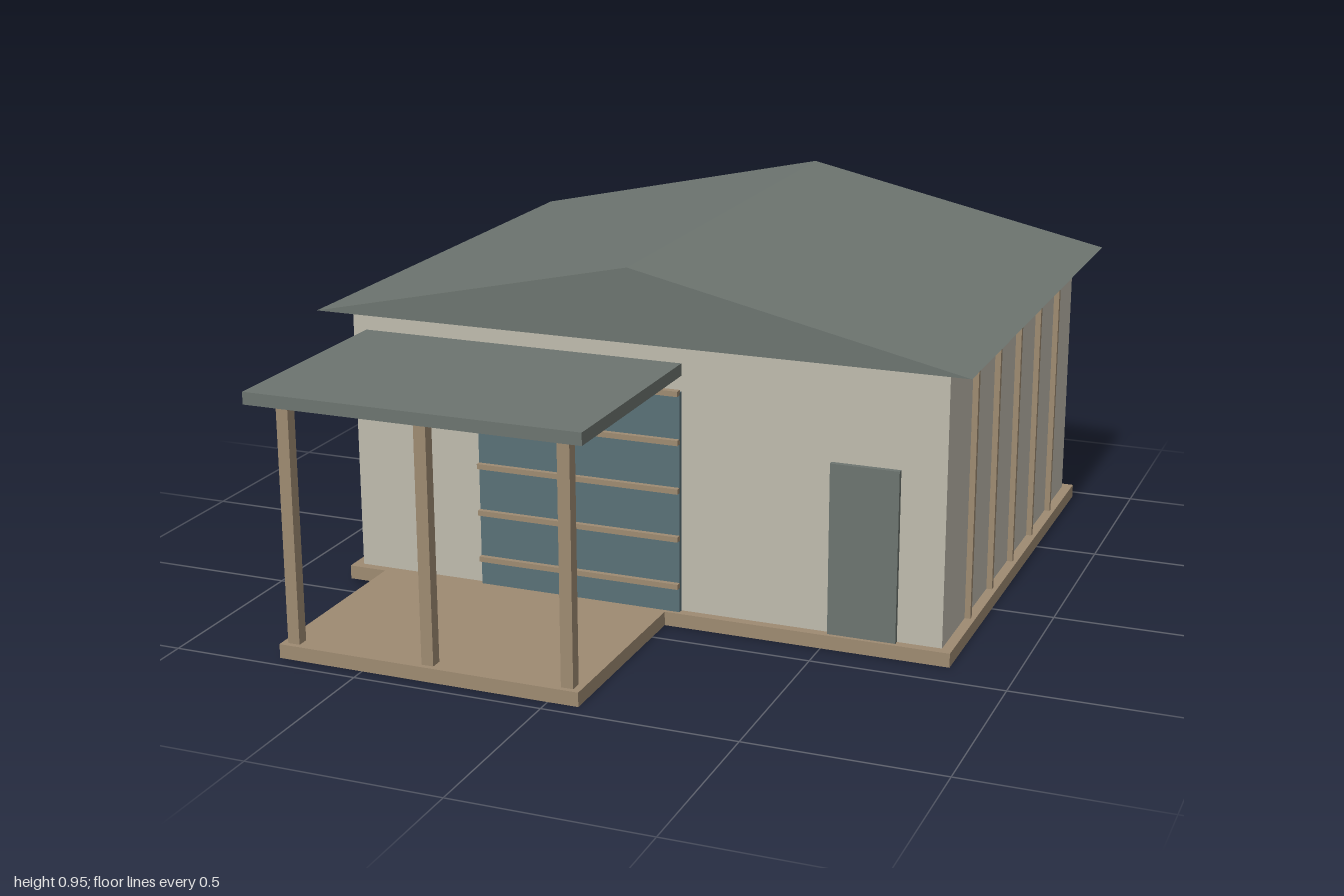
import * as THREE from 'three';

const material = (color) => new THREE.MeshStandardMaterial({ color });

export function createModel() {
  const model = new THREE.Group();
  model.name = 'garage';
  const wall = material(0xc0bcae);
  const roofing = material(0x6d7570);
  const timber = material(0x9f8b72);
  const doorBlue = material(0x5a7178);

  // Box given by its extents on each axis
  function box(name, [x0, x1], [y0, y1], [z0, z1], mat) {
    const mesh = new THREE.Mesh(new THREE.BoxGeometry(x1 - x0, y1 - y0, z1 - z0), mat);
    mesh.position.set((x0 + x1) / 2, (y0 + y1) / 2, (z0 + z1) / 2);
    mesh.name = name;
    model.add(mesh);
  }

  const floor = 0.037, eave = 0.755, ridge = 0.947;
  const halfWidth = 0.808, front = 0.39, back = -0.93;

  // Floor slabs and walls
  box('mainSlab', [-0.835, 0.835], [0, floor], [-0.957, 0.415], timber);
  box('porchSlab', [-0.73, 0.08], [0, floor], [0.415, 0.96], timber);
  box('walls', [-halfWidth, halfWidth], [floor, eave], [back, front], wall);

  // Solid gable roof
  const gable = new THREE.Shape([
    new THREE.Vector2(-0.877, eave),
    new THREE.Vector2(0.877, eave),
    new THREE.Vector2(0, ridge),
  ]);
  const roof = new THREE.Mesh(
    new THREE.ExtrudeGeometry(gable, { depth: 1.457, bevelEnabled: false }), roofing);
  roof.position.z = -1;
  roof.name = 'gableRoof';
  model.add(roof);

  // Porch roof on three posts
  box('porchRoof', [-0.77, 0.117], [0.665, 0.697], [front, 1], roofing);
  for (const x of [-0.697, -0.326, 0.045]) {
    box('porchPost', [x - 0.016, x + 0.016], [floor, 0.665], [0.914, 0.946], timber);
  }

  // Large door with horizontal slats
  box('garageDoor', [-0.445, 0.117], [floor, 0.624], [front - 0.01, 0.404], doorBlue);
  for (let i = 0; i < 5; i++) {
    const y = 0.11 + i * 0.1285;
    box('doorSlat', [-0.445, 0.117], [y - 0.007, y + 0.007], [0.4, 0.418], timber);
  }

  // Small side door
  box('entryDoor', [0.514, 0.692], [floor, 0.487], [front - 0.01, 0.404], roofing);

  // Battens on the left wall
  for (let i = 1; i < 6; i++) {
    const z = front + (back - front) * i / 6;
    box('sideBatten', [halfWidth - 0.01, 0.823], [floor, 0.732], [z - 0.007, z + 0.007], timber);
  }
  // Battens on the back wall
  for (let i = 1; i < 8; i++) {
    const x = -halfWidth + 2 * halfWidth * i / 8;
    box('backBatten', [x - 0.007, x + 0.007], [floor, 0.732], [-0.944, back + 0.01], timber);
  }
  return model;
}
